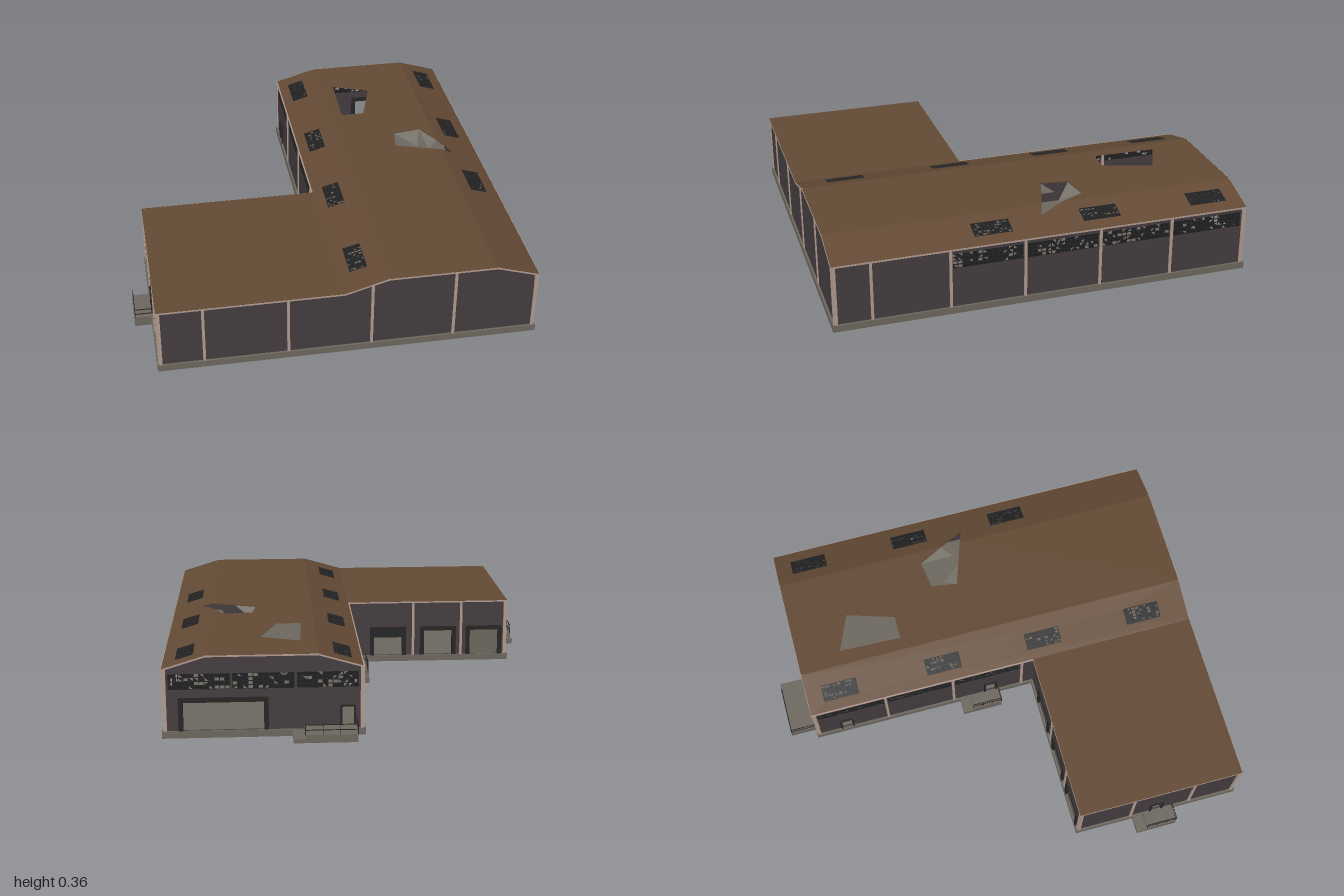
import * as THREE from 'three';
import { mergeGeometries } from 'three/addons/utils/BufferGeometryUtils.js';

const mat = (name, color, side = THREE.FrontSide) => {
  const m = new THREE.MeshStandardMaterial({ color, side });
  m.name = name;
  return m;
};
const M = {
  wall: mat('dark cladding', 0x453e40),
  roof: mat('rusty brown roof', 0x634a35),
  concrete: mat('concrete grey', 0x6e695f),
  trim: mat('pale pink trim', 0xb39c91),
  frame: mat('black steel', 0x272525),
  pane: mat('dirty glass', 0x1d1f20, THREE.DoubleSide),
  sheet: mat('torn grey sheet', 0x77736a, THREE.DoubleSide),
};
const FLOOR = 0.03, EAVE = 0.3, RIDGE = 0.355, T = 0.008;

let seed = 7;
const rnd = () => (seed = (seed * 16807) % 2147483647) / 2147483647;
const shapeOf = pts => new THREE.Shape(pts.map(p => new THREE.Vector2(...p)));
const rect = (a, b, c, d) => [[a, c], [b, c], [b, d], [a, d]];

function add(parent, name, geo, material) {
  const m = new THREE.Mesh(geo, material);
  m.name = name;
  parent.add(m);
  return m;
}
function box(parent, name, material, x0, x1, y0, y1, z0, z1) {
  const m = add(parent, name, new THREE.BoxGeometry(x1 - x0, y1 - y0, z1 - z0), material);
  m.position.set((x0 + x1) / 2, (y0 + y1) / 2, (z0 + z1) / 2);
  return m;
}
// square bar between two points
function bar(parent, name, material, a, b, size) {
  const p = new THREE.Vector3(...a), q = new THREE.Vector3(...b);
  const m = add(parent, name, new THREE.BoxGeometry(size, size, p.distanceTo(q) + size), material);
  m.position.copy(p).add(q).multiplyScalar(0.5);
  m.lookAt(q);
}
// height of the roof over x
function roofY(x) {
  if (x <= 0.01) return EAVE;
  if (x < 0.2) return EAVE + (RIDGE - EAVE) * (x - 0.01) / 0.19;
  if (x <= 0.67) return RIDGE;
  return RIDGE - (RIDGE - EAVE) * (x - 0.67) / 0.18;
}

// glazing grid with whole, broken and missing panes in the local xy plane
function glazing(parent, name, u0, u1, v0, v1, nu, nv, z) {
  const bars = [], panes = [], du = (u1 - u0) / nu, dv = (v1 - v0) / nv, b = 0.0035;
  for (let i = 0; i <= nu; i++)
    bars.push(new THREE.BoxGeometry(b, v1 - v0 + b, b).translate(u0 + i * du, (v0 + v1) / 2, z));
  for (let j = 0; j <= nv; j++)
    bars.push(new THREE.BoxGeometry(u1 - u0 + b, b, b).translate((u0 + u1) / 2, v0 + j * dv, z));
  for (let i = 0; i < nu; i++) for (let j = 0; j < nv; j++) {
    const r = rnd();
    if (r > 0.87) continue;
    const pts = rect(u0 + i * du, u0 + (i + 1) * du, v0 + j * dv, v0 + (j + 1) * dv);
    if (r > 0.65) pts.splice(Math.floor(rnd() * 4), 1);
    panes.push(new THREE.ShapeGeometry(shapeOf(pts)).translate(0, 0, z));
  }
  add(parent, name + 'Bars', mergeGeometries(bars), M.frame);
  add(parent, name + 'Panes', mergeGeometries(panes), M.pane);
}

// wall with window bays [u0, u1], doors [u0, u1, top] and columns [u]
function wall(parent, name, outline, { windows = [], doors = [], columns = [] }, at, alongZ) {
  const g = new THREE.Group();
  g.name = name;
  g.position.set(...at);
  if (alongZ) g.rotation.y = -Math.PI / 2;
  parent.add(g);
  const s = shapeOf(outline);
  const hole = (a, b, c, d) => s.holes.push(new THREE.Path(rect(a, b, c, d).map(p => new THREE.Vector2(...p))));
  for (const [a, b] of windows) {
    hole(a, b, 0.21, 0.28);
    glazing(g, 'window', a, b, 0.21, 0.28, Math.max(4, Math.round((b - a) / 0.022)), 4, T / 2);
  }
  for (const [a, b, top] of doors) {
    hole(a, b, FLOOR + 0.0005, top);
    const w = b - a > 0.1 ? 0.02 : 0.007, z0 = -0.008, z1 = T + 0.008;
    box(g, 'doorJamb', M.frame, a - w, a, FLOOR, top + w, z0, z1);
    box(g, 'doorJamb', M.frame, b, b + w, FLOOR, top + w, z0, z1);
    box(g, 'doorLintel', M.frame, a, b, top, top + w, z0, z1);
  }
  add(g, 'cladding', new THREE.ExtrudeGeometry(s, { depth: T, bevelEnabled: false }), M.wall);
  for (const [u, h] of columns) box(g, 'column', M.trim, u - 0.006, u + 0.006, FLOOR, h, -0.006, T + 0.006);
}

// loading platform with a step and railings on its outer side
function platform(parent, x0, x1, z0, z1, out) {
  const g = new THREE.Group();
  g.name = 'platform';
  parent.add(g);
  const alongX = out === 'z', c = 0.05;
  if (alongX) {
    box(g, 'deck', M.concrete, x0, x1 - c, 0.01, 0.045, z0, z1);
    box(g, 'step', M.concrete, x1 - c, x1, 0.01, 0.028, z0, z1);
  } else {
    box(g, 'deck', M.concrete, x0, x1, 0, 0.045, z0 + c, z1);
    box(g, 'step', M.concrete, x0, x1, 0, 0.025, z0, z0 + c);
  }
  const a = alongX ? [x0, z0 + 0.004] : [x0 + 0.004, z1];
  const b = alongX ? [x1 - c, z0 + 0.004] : [x0 + 0.004, z0 + c];
  const wallEnd = alongX ? [x0, z1] : [x1, z1];
  for (const y of [0.065, 0.088]) {
    bar(g, 'rail', M.frame, [a[0], y, a[1]], [b[0], y, b[1]], 0.003);
    bar(g, 'rail', M.frame, [a[0], y, a[1]], [wallEnd[0], y, wallEnd[1]], 0.003);
  }
  for (let i = 0; i <= 3; i++) {
    const x = a[0] + (b[0] - a[0]) * i / 3, z = a[1] + (b[1] - a[1]) * i / 3;
    bar(g, 'railPost', M.frame, [x, 0.045, z], [x, 0.088, z], 0.003);
  }
}

export function createModel() {
  const model = new THREE.Group();
  model.name = 'warehouse';

  // L-shaped floor slab, drawn in plan with v = -z
  const plan = [[-0.79, -0.99], [0.86, -0.99], [0.86, 0.88], [0, 0.88], [0, -0.2], [-0.79, -0.2]];
  const slab = add(model, 'slab', new THREE.ExtrudeGeometry(shapeOf(plan), { depth: FLOOR, bevelEnabled: false }), M.concrete);
  slab.rotation.x = -Math.PI / 2;

  // walls
  const gable = [[0.85, EAVE], [0.67, RIDGE], [0.2, RIDGE], [0.01, EAVE]];
  wall(model, 'frontWall', [[-0.78, FLOOR], [0.85, FLOOR], ...gable, [-0.78, EAVE]],
    { columns: [-0.774, -0.59, -0.23, 0.13, 0.49, 0.844].map(u => [u, roofY(u)]) }, [0, 0, 0.972]);
  wall(model, 'backWall', [[0.01, FLOOR], [0.85, FLOOR], ...gable], {
    windows: [[0.03, 0.29], [0.3, 0.56], [0.57, 0.83]],
    doors: [[0.43, 0.77, 0.155], [0.05, 0.1, 0.125]],
    columns: [[0.016, EAVE], [0.844, EAVE]],
  }, [0, 0, -0.87]);
  wall(model, 'rightWall', rect(-0.87, 0.98, FLOOR, EAVE), {
    windows: [[-0.85, -0.53], [-0.51, -0.2], [-0.18, 0.14], [0.16, 0.47]],
    columns: [-0.862, -0.52, -0.19, 0.15, 0.48, 0.82, 0.974].map(u => [u, EAVE]),
  }, [0.85, 0, 0], true);
  wall(model, 'innerLeftWall', rect(-0.87, 0.21, FLOOR, EAVE), {
    windows: [[-0.85, -0.53], [-0.51, -0.2], [-0.18, 0.14]],
    doors: [[-0.03, 0.02, 0.125], [-0.75, -0.7, 0.125]],
    columns: [-0.864, -0.52, -0.19, 0.15].map(u => [u, EAVE]),
  }, [0.01 + T, 0, 0], true);
  wall(model, 'wingBackWall', rect(-0.78, 0.01, FLOOR, EAVE), {
    doors: [[-0.74, -0.6, 0.155], [-0.51, -0.37, 0.155], [-0.26, -0.12, 0.155]],
    columns: [-0.774, -0.555, -0.315].map(u => [u, EAVE]),
  }, [0, 0, 0.21]);
  wall(model, 'wingLeftWall', rect(0.21, 0.98, FLOOR, EAVE), {
    doors: [[0.57, 0.62, 0.125]],
    columns: [0.216, 0.47, 0.76, 0.974].map(u => [u, EAVE]),
  }, [-0.78 + T, 0, 0], true);

  // rolling shutters, one closed and one half open
  box(model, 'closedShutter', M.concrete, -0.74, -0.6, FLOOR, 0.155, 0.212, 0.216);
  box(model, 'halfOpenShutter', M.frame, -0.26, -0.12, 0.12, 0.155, 0.212, 0.216);

  // roof strips in plan (x, z), with skylight openings and torn holes
  const skylights = [];
  for (const z of [-0.715, -0.215, 0.275, 0.77]) {
    skylights.push([0.055, 0.13, z]);
    if (z < 0.5) skylights.push([0.725, 0.8, z]);
  }
  const cut = right => skylights.filter(s => (s[0] > 0.5) === right).map(([a, b, z]) => rect(a, b, z - 0.083, z + 0.083));
  const strips = [
    [rect(-0.785, 0.01, 0.205, 0.985), []],
    [rect(0.01, 0.2, -0.875, 0.985), cut(false)],
    [[[0.2, -0.875], [0.67, -0.875], [0.67, -0.075], [0.61, -0.19], [0.48, -0.17], [0.46, -0.05], [0.67, 0.02],
      [0.67, 0.985], [0.2, 0.985]], [[[0.27, -0.67], [0.44, -0.6], [0.37, -0.38], [0.26, -0.38]]]],
    [[[0.67, -0.875], [0.855, -0.875], [0.855, 0.985], [0.67, 0.985], [0.67, 0.02], [0.73, 0.04], [0.67, -0.075]], cut(true)],
  ];
  for (const [outline, holes] of strips) {
    const flip = pts => pts.map(([x, z]) => new THREE.Vector2(x, -z));
    const s = new THREE.Shape(flip(outline));
    s.holes = holes.map(h => new THREE.Path(flip(h)));
    const geo = new THREE.ExtrudeGeometry(s, { depth: 0.005, bevelEnabled: false }).rotateX(-Math.PI / 2);
    const p = geo.attributes.position;
    for (let i = 0; i < p.count; i++) p.setY(i, p.getY(i) + roofY(p.getX(i)));
    geo.computeVertexNormals();
    add(model, 'roof', geo, M.roof);
  }

  // skylights lying on the slopes
  for (const [a, b, z] of skylights) {
    const g = new THREE.Group(), mid = (a + b) / 2;
    g.name = 'skylight';
    g.position.set(mid, roofY(mid) + 0.005, z);
    g.rotation.set(-Math.PI / 2, -Math.atan((roofY(b) - roofY(a)) / (b - a)), 0);
    glazing(g, 'skylight', (a - b) / 2, (b - a) / 2, -0.083, 0.083, 5, 9, 0);
    model.add(g);
  }

  // torn sheets drooping into the roof hole
  for (const [a, b, c] of [
    [[0.48, RIDGE, -0.17], [0.61, RIDGE, -0.19], [0.58, 0.32, -0.09]],
    [[0.61, RIDGE, -0.19], [0.67, RIDGE, -0.075], [0.62, 0.335, -0.03]],
    [[0.46, RIDGE, -0.05], [0.56, RIDGE, -0.017], [0.5, 0.325, -0.1]],
  ]) {
    const geo = new THREE.BufferGeometry().setFromPoints([a, b, c].map(p => new THREE.Vector3(...p)));
    geo.computeVertexNormals();
    add(model, 'tornSheet', geo, M.sheet);
  }

  // pale edge trim round the eaves and gables
  const edge = (x0, z0, x1, z1) =>
    bar(model, 'eaveTrim', M.trim, [x0, roofY(x0) + 0.001, z0], [x1, roofY(x1) + 0.001, z1], 0.007);
  const xs = [0.01, 0.2, 0.67, 0.852];
  for (const z of [-0.873, 0.983]) for (let i = 0; i < 3; i++) edge(xs[i], z, xs[i + 1], z);
  edge(-0.783, 0.983, 0.01, 0.983);
  edge(-0.783, 0.207, 0.01, 0.207);
  edge(-0.783, 0.207, -0.783, 0.983);
  edge(0.008, -0.873, 0.008, 0.207);
  edge(0.853, -0.873, 0.853, 0.983);

  // loading platforms
  platform(model, 0.04, 0.31, -1, -0.88, 'z');
  platform(model, -0.07, 0, -0.16, 0.03, 'x');
  platform(model, -0.865, -0.79, 0.48, 0.67, 'x');
  return model;
}
